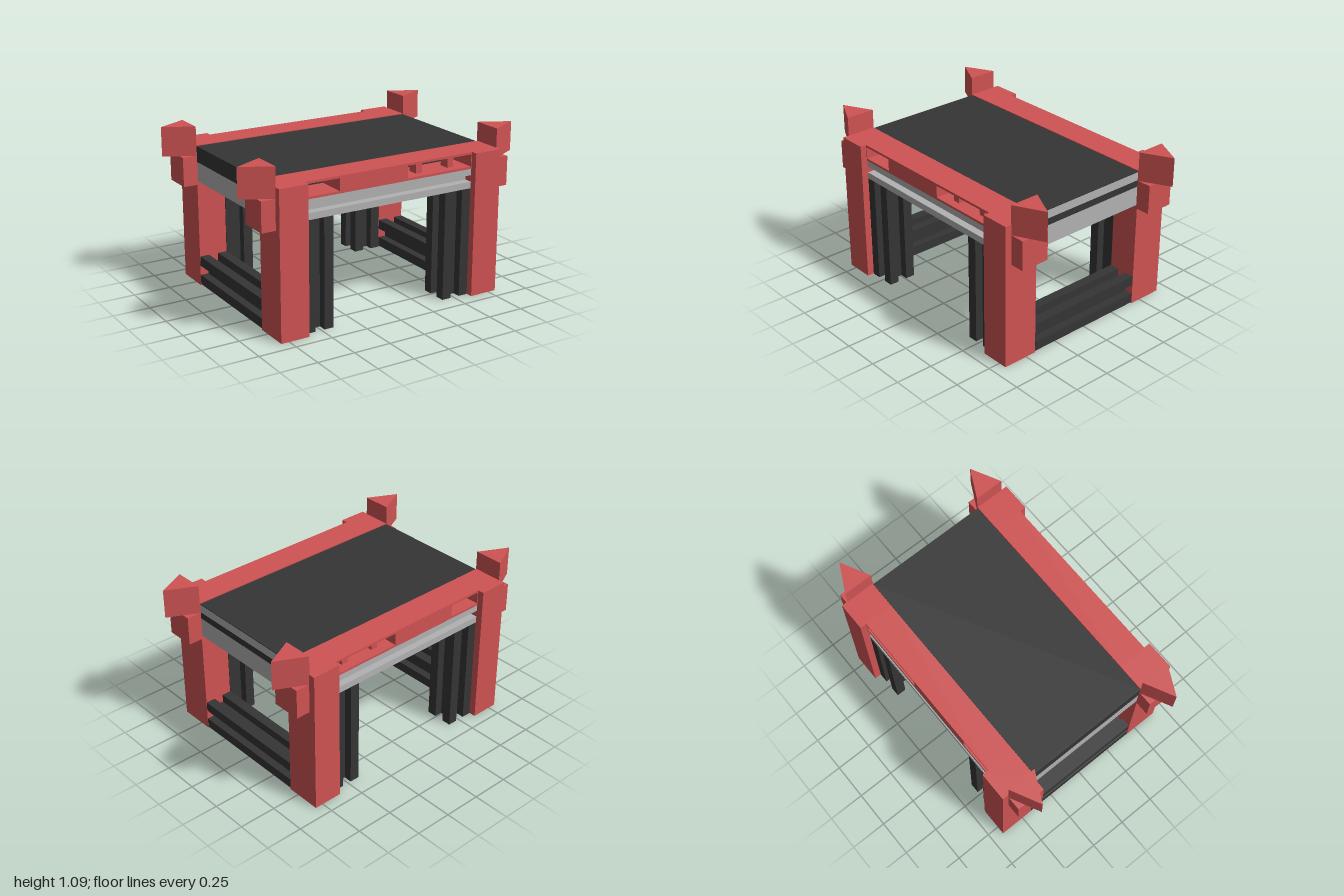
import * as THREE from 'three';

const material = (name, color, extra = {}) => {
  const m = new THREE.MeshStandardMaterial({ color, ...extra });
  m.name = name;
  return m;
};

export function createModel() {
  const red = material('red', 0xcf5353);
  const black = material('black', 0x353535);
  const grey = material('grey', 0xb2b2b2);
  const model = new THREE.Group();

  const add = (name, geometry, mat) => {
    const mesh = new THREE.Mesh(geometry, mat);
    mesh.name = name;
    model.add(mesh);
    return mesh;
  };

  // Box given by its extents on each axis
  const box = (name, mat, [x0, x1], [y0, y1], [z0, z1]) =>
    add(name, new THREE.BoxGeometry(x1 - x0, y1 - y0, z1 - z0), mat)
      .position.set((x0 + x1) / 2, (y0 + y1) / 2, (z0 + z1) / 2);

  // Mirrored extent: [a, b] on the positive or negative side
  const side = (s, a, b) => (s > 0 ? [a, b] : [-b, -a]);

  // Slotted bar of w by h, running along z and centred on the origin
  const slottedBar = (w, h, length) => {
    const quarter = [[1 / 2, -1 / 6], [0.22, -1 / 6], [0.22, 1 / 6], [1 / 2, 1 / 6], [1 / 2, 1 / 2]];
    const points = [];
    for (let i = 0; i < 4; i++) {
      const c = [1, 0, -1, 0][i], s = [0, 1, 0, -1][i];
      for (const [x, y] of quarter) points.push(new THREE.Vector2((x * c - y * s) * w, (x * s + y * c) * h));
    }
    return new THREE.ExtrudeGeometry(new THREE.Shape(points), { depth: length, bevelEnabled: false })
      .translate(0, 0, -length / 2);
  };

  const rectangle = (Type, x0, x1, y0, y1) => new Type([
    new THREE.Vector2(x0, y0), new THREE.Vector2(x1, y0), new THREE.Vector2(x1, y1), new THREE.Vector2(x0, y1),
  ]);

  // Bed: grey base, dark layer, grey upper plate, dark top and end cap
  box('bedBase', grey, [-0.8, 0.8], [0.725, 0.855], [-0.425, 0.425]);
  box('bedLayer', black, [-0.795, 0.8], [0.855, 0.9], [-0.425, 0.425]);
  box('bedPlate', grey, [-0.795, 0.8], [0.9, 0.956], [-0.425, 0.425]);
  box('bedTop', black, [-0.795, 0.8], [0.956, 0.961], [-0.425, 0.425]);
  box('bedEndCap', black, [-0.802, -0.795], [0.855, 0.961], [-0.425, 0.425]);

  // Top rail with two windows cut through it
  const railShape = rectangle(THREE.Shape, -0.61, 0.61, 0.855, 0.965);
  railShape.holes.push(
    rectangle(THREE.Path, -0.605, -0.37, 0.87, 0.95),
    rectangle(THREE.Path, 0.12, 0.605, 0.87, 0.95),
  );
  const railGeometry = new THREE.ExtrudeGeometry(railShape, { depth: 0.197, bevelEnabled: false });

  // Pointed corner horn, apex outward
  const hornGeometry = new THREE.ExtrudeGeometry(new THREE.Shape([
    new THREE.Vector2(0, -0.1), new THREE.Vector2(0.197, 0), new THREE.Vector2(0, 0.1),
  ]), { depth: 0.195, bevelEnabled: false }).rotateX(-Math.PI / 2);

  const postGeometry = slottedBar(0.195, 0.195, 0.725).rotateX(Math.PI / 2);
  const crossbarGeometry = slottedBar(0.195, 0.13, 1.22).rotateY(Math.PI / 2);
  const footBarGeometry = slottedBar(0.195, 0.195, 0.85);

  for (const sz of [1, -1]) {
    const end = sz > 0 ? 'front' : 'back';
    add(`${end}Rail`, railGeometry, red).position.z = sz > 0 ? 0.428 : -0.625;
    add(`${end}Crossbar`, crossbarGeometry, grey).position.set(0, 0.79, sz * 0.525);
    for (const x of [0.22, 0.46]) {
      box(`${end}WindowPeg`, red, [x, x + 0.045], [0.87, 0.95], side(sz, 0.5, 0.57));
    }

    for (const sx of [1, -1]) {
      const corner = end + (sx > 0 ? 'Left' : 'Right');
      box(`${corner}Leg`, red, side(sx, 0.61, 0.805), [0, 0.965], side(sz, 0.427, 0.668));
      box(`${corner}Bracket`, red, side(sx, 0.805, 0.9), [0.7, 0.895], side(sz, 0.427, 0.623));
      add(`${corner}Post`, postGeometry, black).position.set(sx * 0.51, 0.3625, sz * 0.525);
      const horn = add(`${corner}Horn`, hornGeometry, red);
      horn.position.set(sx * 0.803, 0.896, sz * 0.525);
      if (sx < 0) horn.rotation.y = Math.PI;
    }
  }

  // Low bars joining the front and back legs
  for (const sx of [1, -1]) {
    add(sx > 0 ? 'leftFootBar' : 'rightFootBar', footBarGeometry, black).position.set(sx * 0.707, 0.107, 0);
  }

  return model;
}
